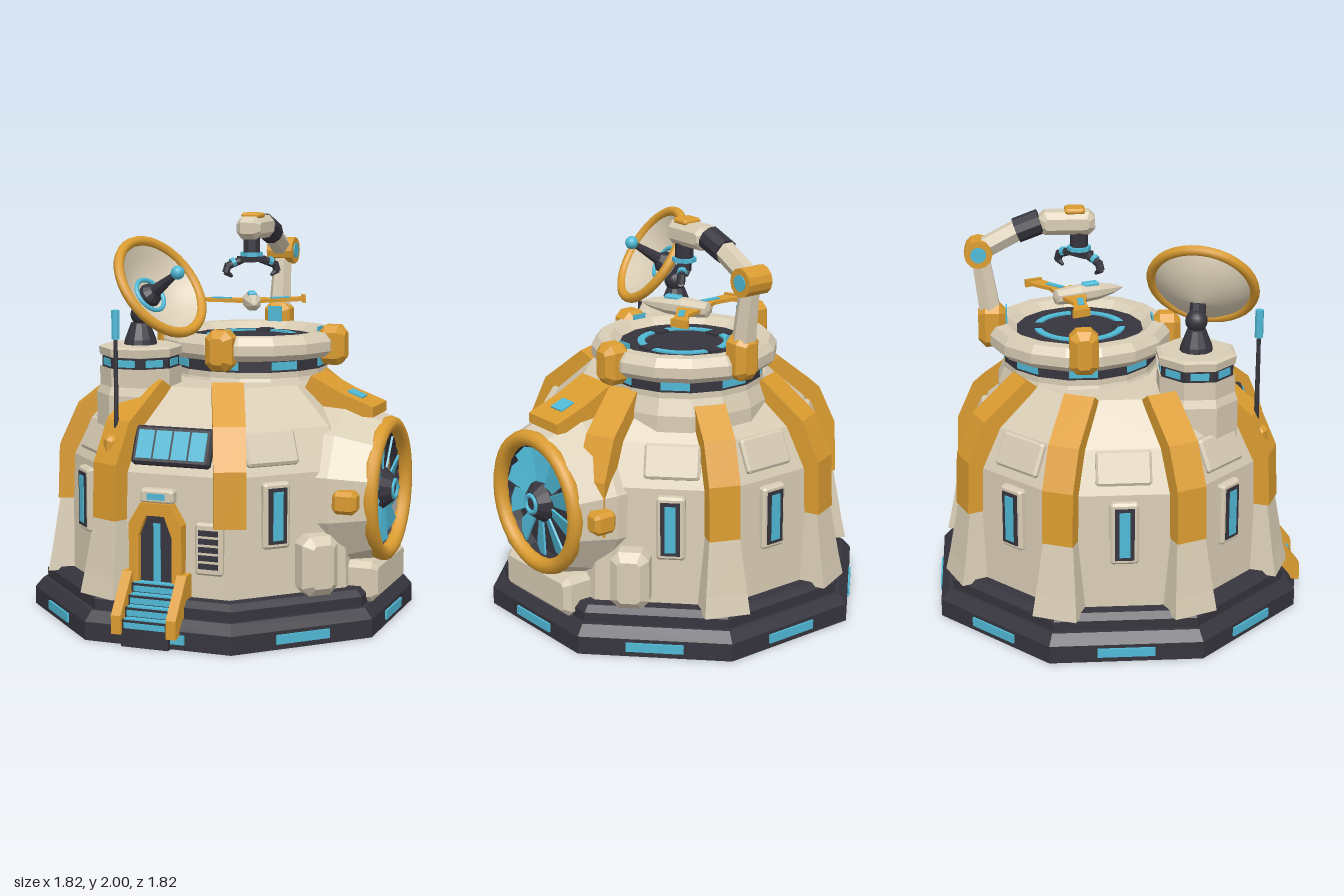
import * as THREE from 'three';

const mat = (name, color) => { const m = new THREE.MeshStandardMaterial({ color }); m.name = name; return m; };
const cream = mat('cream', 0xd8ccb4), dark = mat('charcoal', 0x36343d);
const amber = mat('amber', 0xdb9c30), cyan = mat('cyan', 0x4fb9d6);
const PI = Math.PI, Q = PI / 4, E = PI / 8;
const V = (x, y, z) => new THREE.Vector3(x, y, z);

function flat(g) {
  const f = g.index ? g.toNonIndexed() : g;
  f.computeVertexNormals();
  return f;
}
function add(parent, name, geo, m, x = 0, y = 0, z = 0) {
  const mesh = new THREE.Mesh(geo, m);
  mesh.name = name;
  mesh.position.set(x, y, z);
  parent.add(mesh);
  return mesh;
}
function group(parent, name, x = 0, y = 0, z = 0, turn = 0) {
  const g = new THREE.Group();
  g.name = name;
  g.position.set(x, y, z);
  g.rotation.y = turn;
  parent.add(g);
  return g;
}
const box = (w, h, d) => new THREE.BoxGeometry(w, h, d);
// faceted ring of n flat sides, profile given as [apothem, height]
function ring(profile, n) {
  const k = 1 / Math.cos(PI / n);
  return flat(new THREE.LatheGeometry(profile.map(([r, y]) => new THREE.Vector2(r * k, y)), n, PI / n));
}
const poly = pts => new THREE.Shape(pts.map(p => new THREE.Vector2(...p)));
function slab(shape, depth) {
  return new THREE.ExtrudeGeometry(shape, { depth, bevelEnabled: false });
}
// box with every edge cut at an angle
function chamfer(w, h, d, c) {
  const a = w / 2 - c, b = h / 2 - c, e = c * 0.4;
  const s = poly([[-a + e, -b], [a - e, -b], [a, -b + e], [a, b - e], [a - e, b], [-a + e, b], [-a, b - e], [-a, -b + e]]);
  const g = new THREE.ExtrudeGeometry(s, { depth: d - 2 * c, bevelSize: c, bevelThickness: c, bevelSegments: 1 });
  g.translate(0, 0, -d / 2 + c);
  return flat(g);
}
// profile in (outward, up), extruded sideways
function sideways(pts, width) {
  return slab(poly(pts), width).translate(0, 0, -width / 2).rotateY(-PI / 2);
}
function beam(parent, name, m, a, b, r, r2 = r, n = 8) {
  const mesh = add(parent, name, flat(new THREE.CylinderGeometry(r2, r, a.distanceTo(b), n)), m);
  mesh.position.copy(a).add(b).multiplyScalar(0.5);
  mesh.quaternion.setFromUnitVectors(V(0, 1, 0), b.clone().sub(a).normalize());
  return mesh;
}

function buildShell(root) {
  add(root, 'base', ring([[0, 0], [0.9, 0], [0.9, 0.09], [0.86, 0.14], [0.84, 0.14], [0.84, 0.19], [0.81, 0.22], [0, 0.22]], 8), dark);
  add(root, 'dome', ring([[0.75, 0.22], [0.73, 0.8], [0.64, 1], [0.45, 1.18], [0, 1.19]], 8), cream);
  for (let i = 0; i < 8; i++) add(group(root, 'baseLight', 0, 0, 0, i * Q), 'lightStrip', box(0.28, 0.045, 0.02), cyan, 0, 0.05, 0.9);

  // curved ribs on the dome corners, with feet under most
  const rib = [[0.7, 0.57], [0.845, 0.57], [0.835, 0.84], [0.745, 1.04], [0.52, 1.22], [0.46, 1.18], [0.66, 0.98], [0.74, 0.8]];
  for (const k of [-1, -3, 3, 5, -5, 7, -7]) {
    const g = group(root, 'rib', 0, 0, 0, k * E);
    add(g, 'ribArch', sideways(rib, 0.155), amber);
    if (k === -1 || k === 3) continue;
    const foot = sideways([[0.7, 0.2], [0.9, 0.2], [0.88, 0.3], [0.835, 0.58], [0.7, 0.58]], 0.15);
    const p = foot.attributes.position;
    for (let i = 0; i < p.count; i++) p.setX(i, p.getX(i) * (1.5 - (p.getY(i) - 0.2) * 1.3));
    add(g, 'ribFoot', flat(foot), cream);
  }

  // windows and sloping wall panels
  for (const [k, x] of [[0, -0.07], [2, 0.06], [3, 0], [4, 0], [5, 0], [6, 0]]) {
    const g = group(root, 'wallBay', 0, 0, 0, k * Q);
    add(g, 'windowFrame', chamfer(0.14, 0.32, 0.06, 0.012), cream, x, 0.61, 0.738);
    add(g, 'windowRecess', box(0.095, 0.27, 0.008), dark, x, 0.61, 0.77);
    add(g, 'windowPane', box(0.052, 0.235, 0.008), cyan, x, 0.61, 0.775);
    add(g, 'wallPanel', chamfer(0.27, 0.17, 0.05, 0.012), cream, x, 0.92, 0.68).rotation.x = -0.42;
  }
  // side bolsters
  for (const [x, z, a] of [[0.13, 0.78, 0], [0.78, 0.13, PI / 2]])
    add(group(root, 'bolster', x, 0.36, z, a), 'bolsterBlock', chamfer(0.19, 0.29, 0.16, 0.04), cream);
}

function buildEntrance(root) {
  const g = group(root, 'entrance', 0, 0, 0, -Q), x = -0.05;
  const arch = (w, t, y) => [[-w, y], [w, y], [w, t - 0.1], [w * 0.55, t], [-w * 0.55, t], [-w, t - 0.1]];
  const frame = poly(arch(0.135, 0.67, 0.2));
  frame.holes.push(new THREE.Path(poly(arch(0.085, 0.61, 0.21)).getPoints()));
  add(g, 'doorFrame', slab(frame, 0.1), amber, x, 0, 0.7);
  add(g, 'door', slab(poly(arch(0.09, 0.62, 0.21)), 0.04), dark, x, 0, 0.73);
  add(g, 'doorLight', box(0.035, 0.3, 0.008), cyan, x, 0.42, 0.773);
  add(g, 'doorHeader', chamfer(0.17, 0.07, 0.08, 0.012), cream, x, 0.7, 0.745);
  add(g, 'headerLight', box(0.09, 0.03, 0.008), cyan, x, 0.7, 0.785);
  // steps between sloping rails
  for (let i = 0; i < 4; i++) {
    const y = 0.28 - i * 0.05, z = 0.79 + i * 0.04;
    add(g, 'step', box(0.24, y, 0.05), dark, x, y / 2, z);
    add(g, 'stepTread', box(0.21, 0.008, 0.036), cyan, x, y + 0.003, z + 0.003);
    add(g, 'stepRiser', box(0.21, 0.028, 0.006), cyan, x, y - 0.025, z + 0.026);
  }
  for (const s of [-1, 1])
    add(g, 'stairRail', sideways([[0.74, 0.1], [0.95, 0.06], [0.95, 0.15], [0.81, 0.335], [0.74, 0.335]], 0.05), amber, x + s * 0.14);
  // louvred grille
  add(g, 'grilleFrame', chamfer(0.14, 0.25, 0.05, 0.01), cream, 0.21, 0.46, 0.745);
  for (let i = 0; i < 5; i++) add(g, 'grilleSlot', box(0.1, 0.027, 0.008), dark, 0.21, 0.38 + i * 0.04, 0.77);
  // sloping skylight
  const s = group(g, 'skylight', 0, 0.925, 0.68);
  s.rotation.x = -0.42;
  add(s, 'skylightFrame', chamfer(0.4, 0.19, 0.06, 0.012), dark);
  for (let i = -1.5; i < 2; i++) add(s, 'skylightPane', box(0.08, 0.14, 0.008), cyan, i * 0.09, 0, 0.031);
}

function buildFan(root) {
  const g = group(root, 'fan', 0, 0, 0, Q), y = 0.66;
  add(g, 'fanHousing', ring([[0.42, 0.5], [0.41, 0.68], [0.35, 0.86], [0.29, 0.86]], 12).rotateX(PI / 2), cream, 0, y);
  add(g, 'fanWell', ring([[0.32, 0.865], [0.29, 0.865], [0.28, 0.8], [0, 0.8]], 24).rotateX(PI / 2), dark, 0, y);
  add(g, 'fanRim', new THREE.TorusGeometry(0.322, 0.04, 10, 36), amber, 0, y, 0.865);
  const blade = slab(poly([[-0.02, 0.07], [0.025, 0.07], [0.075, 0.25], [0.02, 0.28], [-0.05, 0.265]]), 0.01).rotateY(0.3);
  for (let i = 0; i < 10; i++) add(g, 'fanBlade', blade, cyan, 0, y, 0.835).rotation.z = i * PI / 5;
  add(g, 'fanHub', ring([[0.1, 0.79], [0.1, 0.85], [0.06, 0.9], [0, 0.9]], 12).rotateX(PI / 2), dark, 0, y);
  add(g, 'hubRing', new THREE.TorusGeometry(0.043, 0.012, 8, 20), cyan, 0, y, 0.9);
  add(g, 'fanPlinth', chamfer(0.54, 0.2, 0.2, 0.03), cream, 0, 0.24, 0.79);
  for (const s of [-1, 1]) add(g, 'sideLug', chamfer(0.1, 0.11, 0.12, 0.02), amber, s * 0.4, y, 0.77);
  // amber hood above the housing
  add(g, 'hood', sideways([[0.47, 1.16], [0.5, 1.22], [0.66, 1.14], [0.82, 1.08], [0.82, 1.03], [0.6, 1.03]], 0.24), amber);
  add(g, 'hoodLight', box(0.09, 0.008, 0.08), cyan, 0, 1.127, 0.705).rotation.x = 0.37;
}

function buildPad(root) {
  const g = group(root, 'landingPad', 0.18, 0, -0.06);
  add(g, 'padNeck', ring([[0.42, 0.95], [0.415, 1.12], [0.385, 1.2], [0.385, 1.23]], 16), cream);
  add(g, 'padBand', ring([[0.38, 1.22], [0.38, 1.3]], 16), dark);
  add(g, 'padFlange', ring([[0.37, 1.285], [0.42, 1.29], [0.45, 1.32], [0.45, 1.37], [0.42, 1.41], [0.36, 1.41], [0.31, 1.37]], 16), cream);
  add(g, 'padDeck', ring([[0.33, 1.36], [0.33, 1.375], [0, 1.375]], 24), dark);
  add(g, 'padCircle', ring([[0.23, 1.37], [0.23, 1.384], [0.195, 1.384], [0.195, 1.37]], 32), cyan);
  for (let i = 0; i < 8; i++) {
    const b = group(g, 'padSegment', 0, 0, 0, i * Q);
    add(b, 'bandLight', box(0.14, 0.04, 0.012), cyan, 0, 1.26, 0.38);
    if (i % 2) {
      const back = i === 3 || i === 5, y = back ? 1.4 : 1.345;
      add(b, 'circleGap', box(0.07, 0.014, 0.09), dark, 0, 1.382, 0.21);
      add(b, 'padClamp', chamfer(0.14, back ? 0.22 : 0.2, 0.14, 0.035), amber, 0, y, 0.44);
      add(b, 'clampLight', box(0.075, 0.08, 0.008), cyan, 0, y + 0.05, 0.368);
    }
  }
  buildArm(g);
  buildDrone(g);
}

function buildArm(pad) {
  const a = group(pad, 'craneArm', 0, 0, 0, Q);
  beam(a, 'lowerLink', cream, V(0.45, 1.48, 0), V(0.49, 1.75, 0), 0.06, 0.05, 6);
  beam(a, 'elbow', amber, V(0.5, 1.78, -0.07), V(0.5, 1.78, 0.07), 0.07, 0.07, 12);
  beam(a, 'elbowCap', cyan, V(0.5, 1.78, -0.075), V(0.5, 1.78, 0.075), 0.04, 0.04, 12);
  beam(a, 'upperLink', cream, V(0.47, 1.8, 0), V(0.3, 1.89, 0), 0.055, 0.055, 6);
  beam(a, 'wristJoint', dark, V(0.31, 1.885, 0), V(0.19, 1.93, 0), 0.063, 0.063, 10);
  add(a, 'craneHead', chamfer(0.28, 0.115, 0.13, 0.03), cream, 0.06, 1.925, 0);
  add(a, 'craneHeadCap', chamfer(0.1, 0.03, 0.1, 0.01), amber, 0.02, 1.985, 0);
  // two-fingered gripper
  beam(pad, 'gripperStem', dark, V(0, 1.79, 0), V(0, 1.9, 0), 0.045);
  beam(pad, 'gripperRing', cyan, V(0, 1.78, 0), V(0, 1.8, 0), 0.06);
  add(pad, 'gripperPalm', box(0.14, 0.03, 0.06), dark, 0, 1.765, 0);
  for (const s of [-1, 1]) {
    beam(pad, 'gripperKnuckle', dark, V(s * 0.05, 1.765, 0), V(s * 0.13, 1.735, 0), 0.02);
    beam(pad, 'gripperJoint', cyan, V(s * 0.095, 1.755, 0), V(s * 0.115, 1.747, 0), 0.024);
    beam(pad, 'gripperFinger', dark, V(s * 0.13, 1.745, 0), V(s * 0.145, 1.7, 0), 0.02);
    beam(pad, 'gripperTip', dark, V(s * 0.145, 1.705, 0), V(s * 0.11, 1.68, 0), 0.018, 0.008);
  }
}

function buildDrone(pad) {
  const d = group(pad, 'drone', 0, 1.55, 0, -0.38);
  add(d, 'droneBody', ring([[0, -0.14], [0.035, -0.13], [0.045, 0], [0.04, 0.1], [0.022, 0.19], [0, 0.25]], 8).rotateX(PI / 2), cream);
  add(d, 'droneCanopy', chamfer(0.045, 0.025, 0.09, 0.008), cyan, 0, 0.042, 0.06);
  for (const s of [-1, 1]) {
    add(d, 'droneWing', slab(poly([[0.02 * s, 0.03], [0.16 * s, -0.04], [0.28 * s, -0.08], [0.29 * s, -0.17], [0.14 * s, -0.1], [0.02 * s, -0.11]]), 0.018).rotateX(PI / 2), amber, 0, 0.009);
    add(d, 'wingLight', box(0.1, 0.006, 0.03), cyan, s * 0.15, 0.012, -0.065).rotation.y = s * 0.4;
    add(d, 'wingTipFin', box(0.015, 0.04, 0.09), amber, s * 0.28, 0, -0.125);
  }
}

function buildDish(root) {
  const t = group(root, 'dishTower', -0.48, 0, 0.06);
  add(t, 'towerBody', ring([[0.2, 0.8], [0.2, 1.14], [0.185, 1.18], [0.185, 1.27]], 8), cream);
  add(t, 'towerBand', ring([[0.175, 1.26], [0.175, 1.33]], 8), dark);
  add(t, 'towerCap', ring([[0.165, 1.32], [0.185, 1.325], [0.19, 1.365], [0.17, 1.375], [0, 1.375]], 8), cream);
  for (let i = 0; i < 8; i++) add(group(t, 'towerLight', 0, 0, 0, i * Q), 'towerLightPlate', box(0.09, 0.035, 0.01), cyan, 0, 1.295, 0.175);
  add(t, 'dishPedestal', ring([[0.08, 1.37], [0.075, 1.4], [0.045, 1.48], [0, 1.48]], 12), dark);
  beam(t, 'dishNeck', dark, V(0, 1.46, 0), V(0.02, 1.6, 0.035), 0.04);
  add(t, 'dishBall', new THREE.SphereGeometry(0.055, 16, 12), dark, 0.005, 1.52, 0.005);

  // tilted reflector with a feed horn along its axis
  const d = group(root, 'dish', -0.42, 1.665, 0.18);
  d.quaternion.setFromUnitVectors(V(0, 1, 0), V(0.37, 0.55, 0.74).normalize());
  const bowl = [[0, -0.125], [0.1, -0.105], [0.19, -0.055], [0.26, 0.01], [0.25, 0.01], [0.18, -0.045], [0.1, -0.085], [0, -0.1]];
  add(d, 'reflector', new THREE.LatheGeometry(bowl.map(p => new THREE.Vector2(...p)), 32), cream);
  add(d, 'reflectorRim', new THREE.TorusGeometry(0.257, 0.025, 10, 36).rotateX(PI / 2), amber);
  add(d, 'feedRing', new THREE.TorusGeometry(0.085, 0.012, 8, 24).rotateX(PI / 2), cyan, 0, -0.083);
  add(d, 'feedBase', ring([[0.06, -0.1], [0.055, -0.07], [0.03, -0.04], [0, -0.04]], 12), dark);
  beam(d, 'feedHorn', dark, V(0, -0.07, 0), V(0, 0.12, 0), 0.035, 0.015);
  add(d, 'feedTip', new THREE.SphereGeometry(0.034, 16, 12), cyan, 0, 0.13, 0);

  // whip antenna
  const w = group(root, 'antenna', -0.695, 0, 0.28);
  add(w, 'antennaMount', chamfer(0.08, 0.1, 0.08, 0.02), amber, -0.02, 0.92, 0);
  beam(w, 'antennaRod', dark, V(0, 0.95, 0), V(0, 1.45, 0), 0.013, 0.01);
  beam(w, 'antennaTip', cyan, V(0, 1.43, 0), V(0, 1.57, 0), 0.021);
}

export function createModel() {
  const root = new THREE.Group();
  root.name = 'domeStation';
  buildShell(root);
  buildEntrance(root);
  buildFan(root);
  buildPad(root);
  buildDish(root);
  return root;
}
